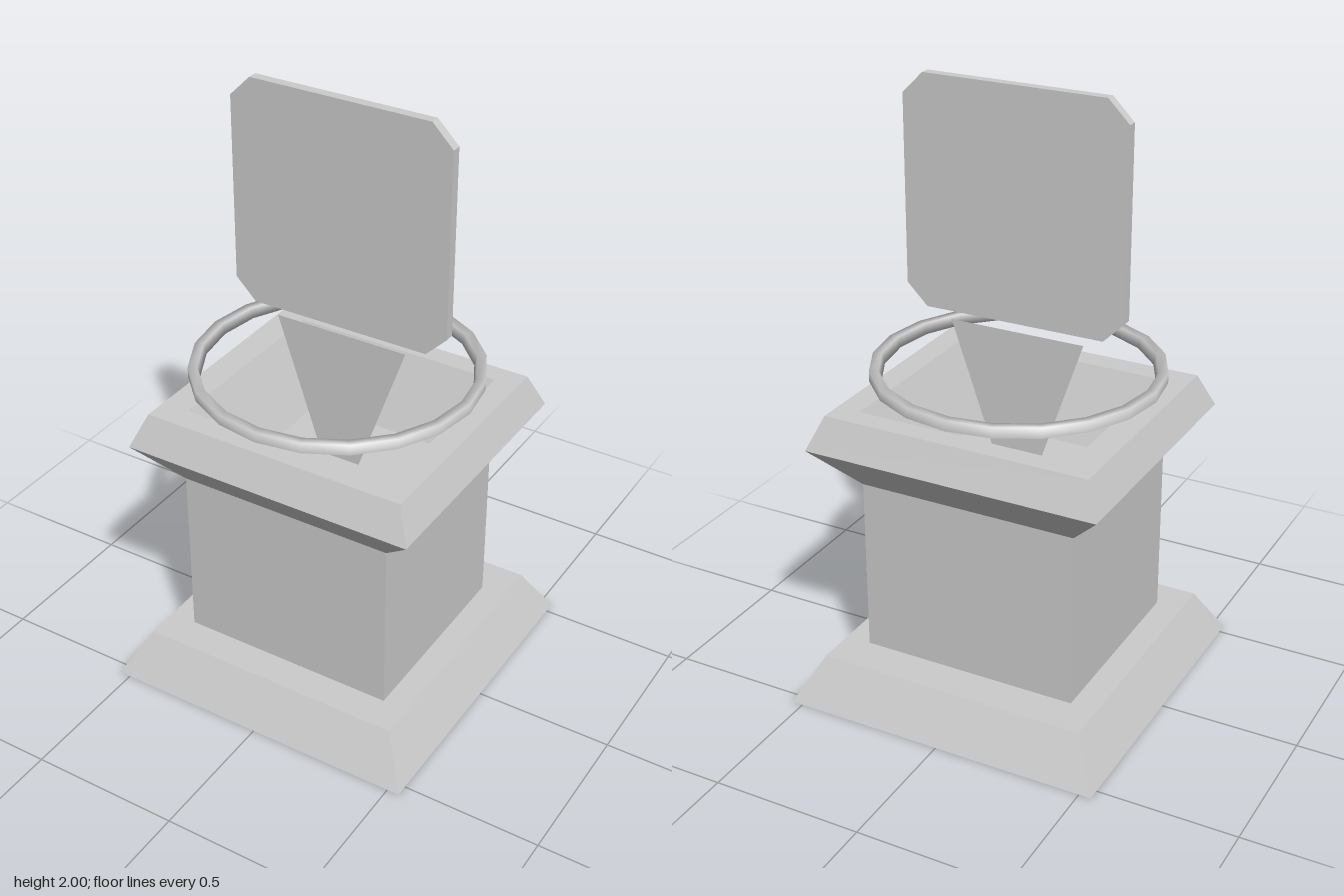
import * as THREE from 'three';

const grey = new THREE.MeshStandardMaterial({ color: 0xcccccc, flatShading: true });
const smooth = new THREE.MeshStandardMaterial({ color: 0xcccccc });
const thin = new THREE.MeshStandardMaterial({ color: 0xcccccc, side: THREE.DoubleSide });

// Joins rectangular sections [y, left, right, back, front], optionally closing the ends
function loft(sections, capStart, capEnd) {
  const pos = [], index = [];
  for (const [y, l, r, b, f] of sections) pos.push(l, y, f, r, y, f, r, y, b, l, y, b);
  for (let s = 0; s < sections.length - 1; s++) {
    for (let i = 0; i < 4; i++) {
      const a = s * 4 + i, c = s * 4 + (i + 1) % 4;
      index.push(a, c, c + 4, a, c + 4, a + 4);
    }
  }
  const e = (sections.length - 1) * 4;
  if (capStart) index.push(0, 2, 1, 0, 3, 2);
  if (capEnd) index.push(e, e + 1, e + 2, e, e + 2, e + 3);
  const g = new THREE.BufferGeometry();
  g.setAttribute('position', new THREE.Float32BufferAttribute(pos, 3));
  g.setIndex(index);
  const flat = g.toNonIndexed();
  flat.computeVertexNormals();
  return flat;
}

function polygon(points) {
  return new THREE.Shape(points.map(([x, y]) => new THREE.Vector2(x, y)));
}

export function createModel() {
  const model = new THREE.Group();
  const add = (name, geometry, material) => {
    const mesh = new THREE.Mesh(geometry, material);
    mesh.name = name;
    model.add(mesh);
    return mesh;
  };

  // Sloped plinth
  add('base', loft([
    [0, -0.54, 0.54, -0.54, 0.54],
    [0.155, -0.455, 0.455, -0.455, 0.455],
  ], true, true), grey);

  // Square shaft
  const shaft = [-0.366, 0.37, -0.326, 0.345];
  add('column', loft([[0.155, ...shaft], [0.745, ...shaft]], false, false), grey);

  // Flared head, its rim and the sunken basin
  add('capital', loft([
    [0.745, ...shaft],
    [0.885, -0.495, 0.5, -0.446, 0.458],
    [0.997, -0.447, 0.452, -0.401, 0.411],
    [0.997, -0.354, 0.371, -0.328, 0.329],
    [0.75, -0.241, 0.259, -0.225, 0.226],
  ], false, true), grey);

  // Thin flared sheet rising from the basin
  add('beam', new THREE.ShapeGeometry(polygon([
    [-0.075, 0.75], [0.065, 0.75], [0.227, 1.215], [-0.233, 1.215],
  ])), thin);

  // Floating hoop with a square section
  const section = [[0.467, 1.08], [0.467, 1.115], [0.437, 1.115], [0.429, 1.08], [0.467, 1.08]];
  const ring = add('ring', new THREE.LatheGeometry(
    section.map(([r, y]) => new THREE.Vector2(r, y)), 20), smooth);
  ring.position.x = -0.012;

  // Floating panel with clipped corners
  const w = 0.375, c = 0.07, y0 = 1.25, y1 = 2;
  const panel = new THREE.ExtrudeGeometry(polygon([
    [-w + c, y0], [w - c, y0], [w, y0 + c], [w, y1 - c],
    [w - c, y1], [-w + c, y1], [-w, y1 - c], [-w, y0 + c],
  ]), { depth: 0.032, bevelEnabled: false });
  panel.translate(0, 0, -0.016);
  add('panel', panel, grey);

  return model;
}
